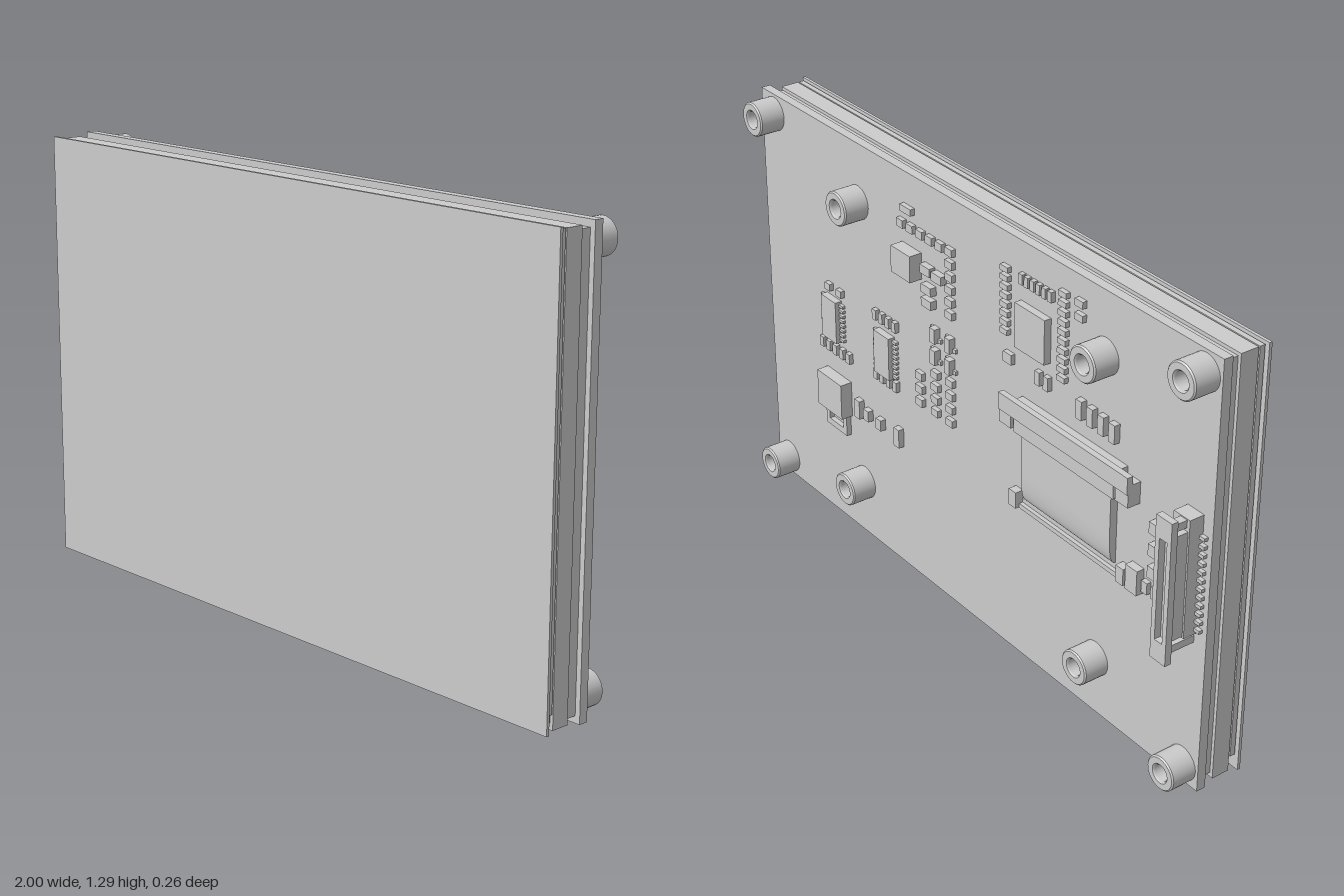
import * as THREE from 'three';

const BACK = -0.02; // rear face of the circuit board

export function createModel() {
  const model = new THREE.Group();
  const mat = new THREE.MeshStandardMaterial({ color: 0xcccccc });
  const thin = new THREE.MeshStandardMaterial({ color: 0xcccccc, side: THREE.DoubleSide });

  const add = (name, geo, material = mat, parent = model) => {
    const mesh = new THREE.Mesh(geo, material);
    mesh.name = name;
    parent.add(mesh);
    return mesh;
  };
  // Box given by its limits
  const box = (name, x0, x1, y0, y1, z0, z1, parent = model) => {
    const mesh = add(name, new THREE.BoxGeometry(x1 - x0, y1 - y0, z1 - z0), mat, parent);
    mesh.position.set((x0 + x1) / 2, (y0 + y1) / 2, (z0 + z1) / 2);
    return mesh;
  };
  // Part mounted on the rear of the board: centre, width, height, depth
  const chip = (name, x, y, w, h, d, parent = model) =>
    box(name, x - w / 2, x + w / 2, y - h / 2, y + h / 2, BACK - d, BACK, parent);
  // Evenly spaced row of small parts
  const row = (name, x, y, dx, dy, n, w, h, d = 0.014) => {
    const group = new THREE.Group();
    group.name = name;
    for (let i = 0; i < n; i++) chip(name + 'Part', x + dx * i, y + dy * i, w, h, d, group);
    model.add(group);
  };

  // Layered display panel
  box('frontGlass', -1, 1, 0.012, 1.287, 0.121, 0.13);
  box('adhesiveLayer', -0.985, 0.985, 0.06, 1.275, 0.117, 0.121);
  box('displayCell', -0.99, 0.99, 0.06, 1.28, 0.101, 0.117);
  box('cellSpacer', -0.98, 0.98, 0.03, 1.27, 0.097, 0.101);
  box('backlightFrame', -0.99, 0.99, 0.016, 1.28, 0.042, 0.097);
  box('rearSpacer', -0.98, 0.985, 0.03, 1.27, 0.008, 0.042);
  box('circuitBoard', -1, 1, 0.01, 1.29, BACK, 0.008);

  // Flex ribbon folded round the bottom edge
  const fold = new THREE.CatmullRomCurve3([
    [0.112, 0.062], [0.112, 0.03], [0.103, 0.01], [0.08, 0.002], [0.055, 0.004], [0.04, 0.014],
  ].map(([z, y]) => new THREE.Vector3(0, y, z)));
  const ribbon = new THREE.PlaneGeometry(0.24, 1, 1, 20);
  const rp = ribbon.attributes.position;
  for (let i = 0; i < rp.count; i++) {
    const p = fold.getPoint(0.5 - rp.getY(i));
    rp.setXYZ(i, rp.getX(i) + 0.64, p.y, p.z);
  }
  ribbon.computeVertexNormals();
  add('bottomRibbon', ribbon, thin);

  // Hollow standoffs: four corners and four inner ones
  const sleeve = new THREE.LatheGeometry([
    [0.024, 0], [0.024, 0.072], [0.029, 0.077], [0.029, 0.077], [0.047, 0.077],
    [0.047, 0.077], [0.051, 0.073], [0.051, 0.073], [0.051, 0],
  ].reverse().map(([r, y]) => new THREE.Vector2(r, y)), 32);
  // The profile runs base to tip on the outside, then back down the bore
  const posts = [[-0.94, 0.067], [0.935, 0.067], [-0.94, 1.23], [0.935, 1.23],
    [-0.58, 0.187], [0.51, 0.187], [-0.58, 1.11], [0.51, 1.11]];
  for (const [x, y] of posts) {
    const post = add('standoff', sleeve, thin);
    post.rotation.x = -Math.PI / 2;
    post.position.set(x, y, BACK);
  }

  // Two small chips with pins on both sides
  for (const x of [0.65, 0.38]) {
    chip('logicChip', x, 0.686, 0.075, 0.135, 0.022);
    for (const s of [-1, 1]) row('logicChipPins', x + s * 0.046, 0.742, 0, -0.016, 8, 0.022, 0.008, 0.01);
  }
  row('upperResistorsA', 0.665, 0.784, -0.058, 0, 2, 0.026, 0.022);
  row('lowerResistorsA', 0.705, 0.586, -0.034, 0, 5, 0.02, 0.032);
  row('upperResistorsB', 0.425, 0.795, -0.032, 0, 4, 0.018, 0.032);
  row('lowerResistorsB', 0.425, 0.602, -0.032, 0, 4, 0.018, 0.032);

  // Main controller with its surrounding passives
  chip('controllerChip', -0.3, 1.055, 0.125, 0.13, 0.022);
  row('controllerLeftParts', -0.18, 1.19, 0, -0.026, 8, 0.032, 0.016);
  row('controllerRightParts', -0.42, 1.217, 0, -0.027, 10, 0.032, 0.016);
  row('controllerTopParts', -0.249, 1.188, -0.024, 0, 6, 0.016, 0.03);
  row('controllerLowerParts', -0.324, 0.932, -0.036, 0, 2, 0.02, 0.04);
  chip('controllerCapacitor', -0.197, 0.935, 0.035, 0.03, 0.014);
  row('sideResistors', -0.486, 1.219, 0, -0.039, 2, 0.032, 0.02);
  row('ribbonCapacitors', -0.5, 0.923, -0.044, -0.002, 4, 0.024, 0.055, 0.018);

  // Power inductor and the parts near it
  chip('powerInductor', 0.25, 1.035, 0.09, 0.08, 0.04);
  chip('powerDiode', 0.26, 1.186, 0.05, 0.02, 0.015);
  row('inductorTopParts', 0.289, 1.136, -0.045, 0, 5, 0.03, 0.024);
  for (const [x, y] of [[0.165, 1.043], [0.112, 1.04], [0.16, 0.986], [0.16, 0.945]])
    chip('inductorCapacitor', x, y, 0.045, 0.026, 0.02);

  // Columns of passives in the middle of the board
  row('middleColumnLeft', 0.208, 0.694, 0, -0.042, 3, 0.032, 0.024);
  row('middleColumnCentre', 0.133, 0.731, 0, -0.04, 4, 0.032, 0.022);
  row('middleColumnTop', 0.064, 1.138, 0, -0.038, 6, 0.032, 0.022);
  row('middleColumnBottom', 0.064, 0.737, 0, -0.042, 4, 0.032, 0.022);
  for (const y of [0.857, 0.79]) { // three-legged transistors
    for (const x of [0.133, 0.064]) {
      chip('transistor', x, y, 0.024, 0.045, 0.02);
      for (const s of [-1, 1]) chip('transistorLeg', x + s * 0.016, y + s * 0.014, 0.016, 0.012, 0.008);
    }
  }

  // Regulator block with a leg bracket under it
  chip('regulatorBody', 0.635, 0.443, 0.125, 0.115, 0.038);
  for (const x of [0.59, 0.68]) chip('regulatorLeg', x, 0.352, 0.018, 0.07, 0.016);
  chip('regulatorFoot', 0.635, 0.327, 0.108, 0.02, 0.016);
  chip('regulatorTab', 0.635, 0.375, 0.07, 0.03, 0.012);
  for (const [x, h] of [[0.52, 0.06], [0.474, 0.035], [0.41, 0.035], [0.318, 0.06]])
    chip('regulatorCapacitor', x, 0.44, 0.026, h, 0.018);

  // Ribbon connector: cover bar with ears, curved ribbon and lower rail
  box('ribbonConnectorBase', -0.68, -0.25, 0.765, 0.84, -0.05, BACK);
  box('ribbonConnectorCover', -0.73, -0.2, 0.795, 0.845, -0.064, -0.046);
  box('ribbonConnectorLip', -0.67, -0.26, 0.75, 0.8, -0.058, -0.04);
  for (const s of [-1, 1]) {
    const c = -0.465 + s * 0.24;
    box('ribbonConnectorEar', c - 0.025, c + 0.025, 0.755, 0.82, -0.06, BACK);
    chip('lowerRailPost', c - s * 0.015, 0.525, 0.03, 0.05, 0.025);
  }
  chip('lowerRail', -0.465, 0.505, 0.46, 0.014, 0.012);
  const section = new THREE.Shape();
  section.moveTo(0.78, 0.02);
  section.lineTo(0.78, 0.043);
  section.lineTo(0.63, 0.043);
  section.bezierCurveTo(0.58, 0.043, 0.53, 0.04, 0.53, 0.02);
  const plate = add('curvedRibbon', new THREE.ExtrudeGeometry(section, { depth: 0.37, bevelEnabled: false, curveSegments: 12 }));
  // Section plane is (y, -z); extrusion runs along -x
  plate.applyMatrix4(new THREE.Matrix4().makeBasis(
    new THREE.Vector3(0, 1, 0), new THREE.Vector3(0, 0, -1), new THREE.Vector3(-1, 0, 0)));
  plate.position.x = -0.275;

  // Tall edge connector with an open socket
  box('edgeConnectorBody', -0.96, -0.925, 0.5, 0.81, -0.107, BACK);
  box('edgeConnectorBase', -0.965, -0.905, 0.495, 0.845, -0.065, BACK);
  for (const [y0, y1] of [[0.46, 0.482], [0.82, 0.842]])
    box('edgeConnectorLatch', -0.955, -0.93, y0, y1, -0.11, -0.02);
  const rim = new THREE.Shape([[-0.97, 0.44], [-0.912, 0.44], [-0.912, 0.862], [-0.97, 0.862]]
    .map(([x, y]) => new THREE.Vector2(x, y)));
  rim.holes.push(new THREE.Path([[-0.955, 0.5], [-0.955, 0.8], [-0.927, 0.8], [-0.927, 0.5]]
    .map(([x, y]) => new THREE.Vector2(x, y))));
  add('edgeConnectorRim', new THREE.ExtrudeGeometry(rim, { depth: 0.02, bevelEnabled: false })).position.z = -0.127;
  row('edgeConnectorPins', -0.972, 0.785, 0, -0.025, 12, 0.024, 0.01, 0.012);
  row('edgeCapacitors', -0.815, 0.724, 0, -0.066, 3, 0.05, 0.035, 0.02);
  row('edgeResistors', -0.775, 0.53, -0.036, 0, 3, 0.022, 0.035, 0.014);
  chip('edgeCapacitorLarge', -0.735, 0.535, 0.045, 0.075, 0.024);

  return model;
}
